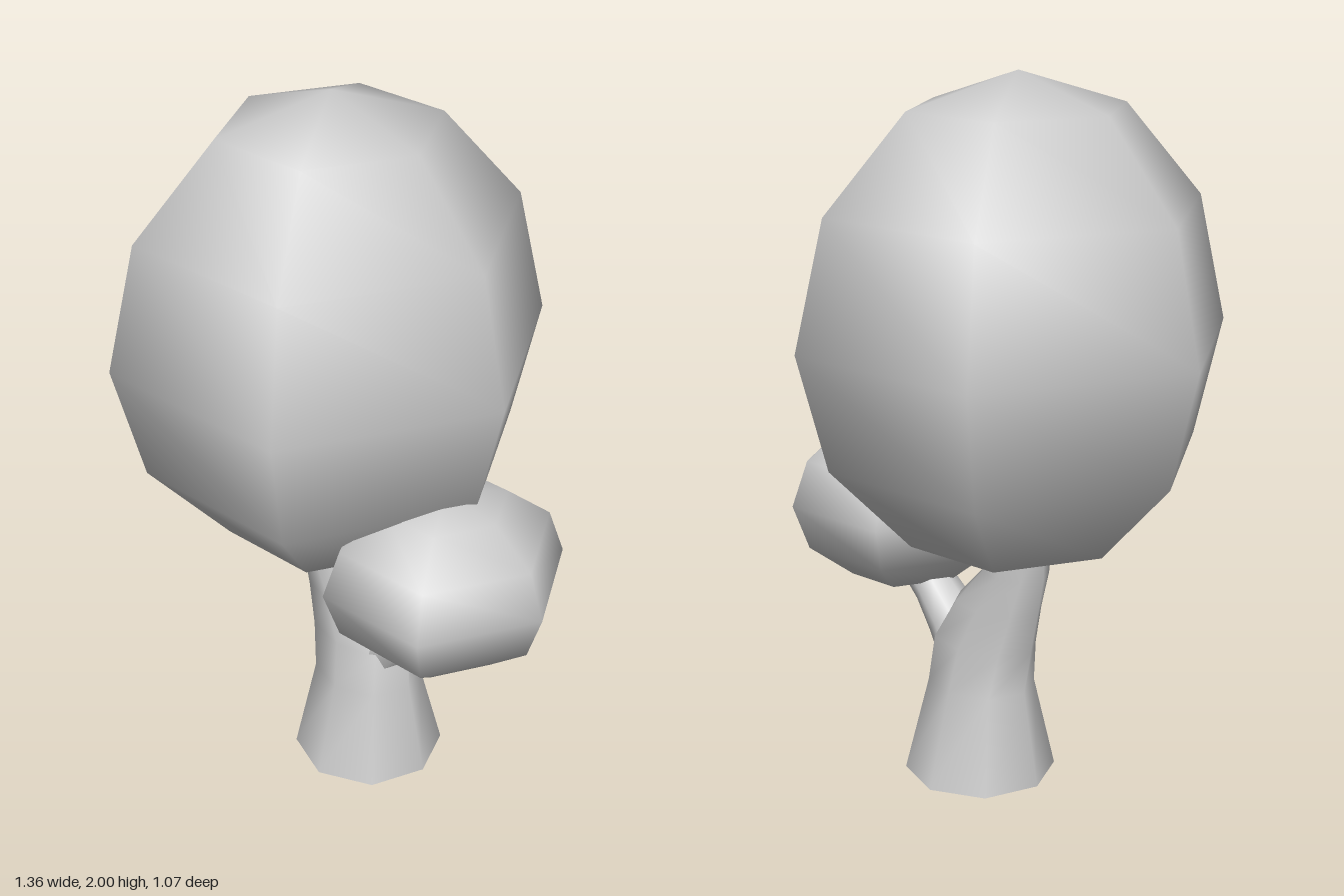
import * as THREE from 'three';
import { mergeVertices } from 'three/addons/utils/BufferGeometryUtils.js';

const material = new THREE.MeshStandardMaterial({ color: 0xcccccc, side: THREE.DoubleSide });

// Six-sided smooth leaf ball, slightly flattened below its middle
function leafBall(name, center, radii, below) {
  const geo = new THREE.SphereGeometry(1, 6, 6);
  geo.deleteAttribute('uv');
  geo.deleteAttribute('normal');
  const p = geo.attributes.position;
  for (let i = 0; i < p.count; i++) {
    const y = p.getY(i);
    p.setXYZ(i, p.getX(i) * radii[0], y * (y < 0 ? below : radii[1]), p.getZ(i) * radii[2]);
  }
  const smooth = mergeVertices(geo, 1e-4);
  smooth.computeVertexNormals();
  const mesh = new THREE.Mesh(smooth, material);
  mesh.name = name;
  mesh.position.set(...center);
  return mesh;
}

// Smooth open limb through rings of [x, y, z, width radius, depth radius, tilt]
function limb(name, rings, sides = 8) {
  const pos = [], index = [];
  rings.forEach(([x, y, z, rx, rz, tilt], r) => {
    for (let i = 0; i < sides; i++) {
      const a = (i / sides) * Math.PI * 2;
      const u = Math.cos(a) * rx;
      pos.push(x + u * Math.cos(tilt), y - u * Math.sin(tilt), z + Math.sin(a) * rz);
      if (r === 0) continue;
      const j = (i + 1) % sides, lo = (r - 1) * sides, hi = r * sides;
      index.push(lo + i, hi + i, lo + j, lo + j, hi + i, hi + j);
    }
  });
  const geo = new THREE.BufferGeometry();
  geo.setAttribute('position', new THREE.Float32BufferAttribute(pos, 3));
  geo.setIndex(index);
  geo.computeVertexNormals();
  const mesh = new THREE.Mesh(geo, material);
  mesh.name = name;
  return mesh;
}

export function createModel() {
  const tree = new THREE.Group();
  tree.name = 'tree';

  // Foliage
  tree.add(leafBall('largeCanopy', [-0.09, 1.3, 0], [0.59, 0.7, 0.615], 0.645));
  tree.add(leafBall('smallCanopy', [0.345, 0.755, 0.028], [0.33, 0.26, 0.35], 0.26));

  // Flared trunk leaning into the large canopy
  tree.add(limb('trunk', [
    [0.045, 0, 0, 0.215, 0.215, 0],
    [0.04, 0.27, 0, 0.16, 0.14, 0],
    [0.025, 0.4, 0, 0.168, 0.115, 0],
    [-0.025, 0.52, 0, 0.142, 0.095, 0],
    [-0.087, 0.63, 0, 0.1, 0.085, 0],
    [-0.095, 0.76, 0, 0.095, 0.085, 0],
  ]));

  // Side branch carrying the small canopy
  tree.add(limb('branch', [
    [0.09, 0.36, 0, 0.09, 0.09, 0.5],
    [0.15, 0.43, 0.005, 0.075, 0.08, 0.7],
    [0.22, 0.505, 0.01, 0.062, 0.07, 0.75],
    [0.31, 0.6, 0.015, 0.065, 0.07, 0.75],
  ]));

  return tree;
}
